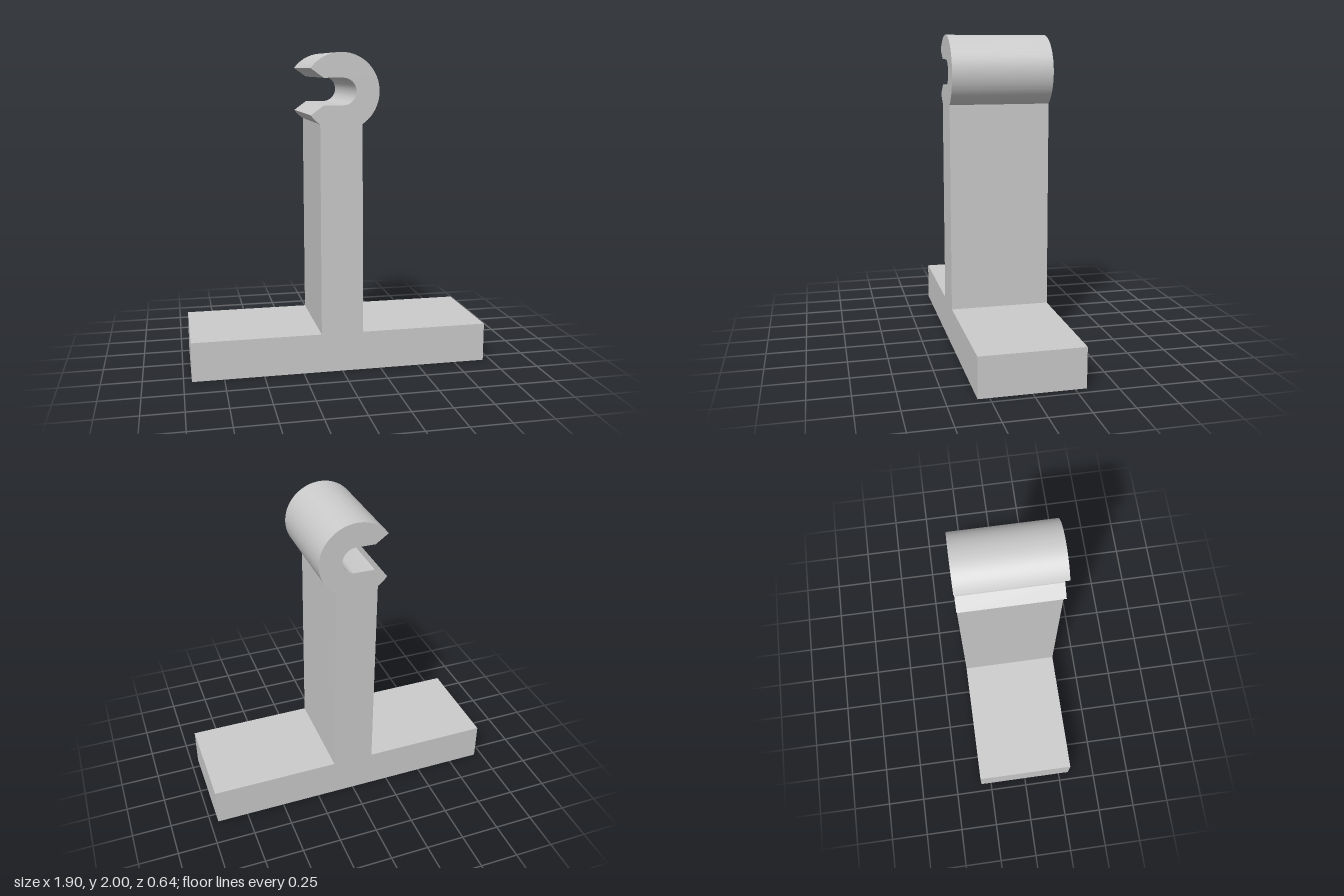
import * as THREE from 'three';
import { toCreasedNormals } from 'three/addons/utils/BufferGeometryUtils.js';

const WIDTH = 0.64;
const HOOK = { x: -0.01, y: 1.765, r: 0.235 }; // outer round of the hook
const SLOT = { x: 0, y: 1.766, r: 0.082 }; // rounded end of the slot

// Angle of a point as seen from the hook centre
const hookAngle = (x, y) => Math.atan2(y - HOOK.y, x - HOOK.x);

function bracketProfile() {
  const s = new THREE.Shape();
  // base plate and right side of the stem
  s.moveTo(-0.95, 0);
  s.lineTo(0.95, 0);
  s.lineTo(0.95, 0.25);
  s.lineTo(0.133, 0.25);
  // outside of the hook, up and over to the upper lip
  s.absarc(HOOK.x, HOOK.y, HOOK.r, hookAngle(0.12, 1.57), hookAngle(-0.2, 1.905), false);
  // slot with flared mouth
  s.lineTo(-0.12, SLOT.y + SLOT.r);
  s.absarc(SLOT.x, SLOT.y, SLOT.r, Math.PI / 2, -Math.PI / 2, true);
  s.lineTo(-0.12, SLOT.y - SLOT.r);
  // lower lip, then left side of the stem
  s.absarc(HOOK.x, HOOK.y, HOOK.r, hookAngle(-0.2, 1.625), hookAngle(-0.142, 1.57), false);
  s.lineTo(-0.135, 0.25);
  s.lineTo(-0.95, 0.25);
  s.closePath();
  return s;
}

export function createModel() {
  const group = new THREE.Group();
  group.name = 'hookStand';

  // base, stem and hook are one continuous extrusion
  const extruded = new THREE.ExtrudeGeometry(bracketProfile(), {
    depth: WIDTH,
    bevelEnabled: false,
    curveSegments: 40,
  });
  extruded.translate(0, 0, -WIDTH / 2);

  const bracket = new THREE.Mesh(
    toCreasedNormals(extruded, 0.4),
    new THREE.MeshStandardMaterial({ color: 0xcccccc })
  );
  bracket.name = 'baseStemAndHook';
  group.add(bracket);
  return group;
}
